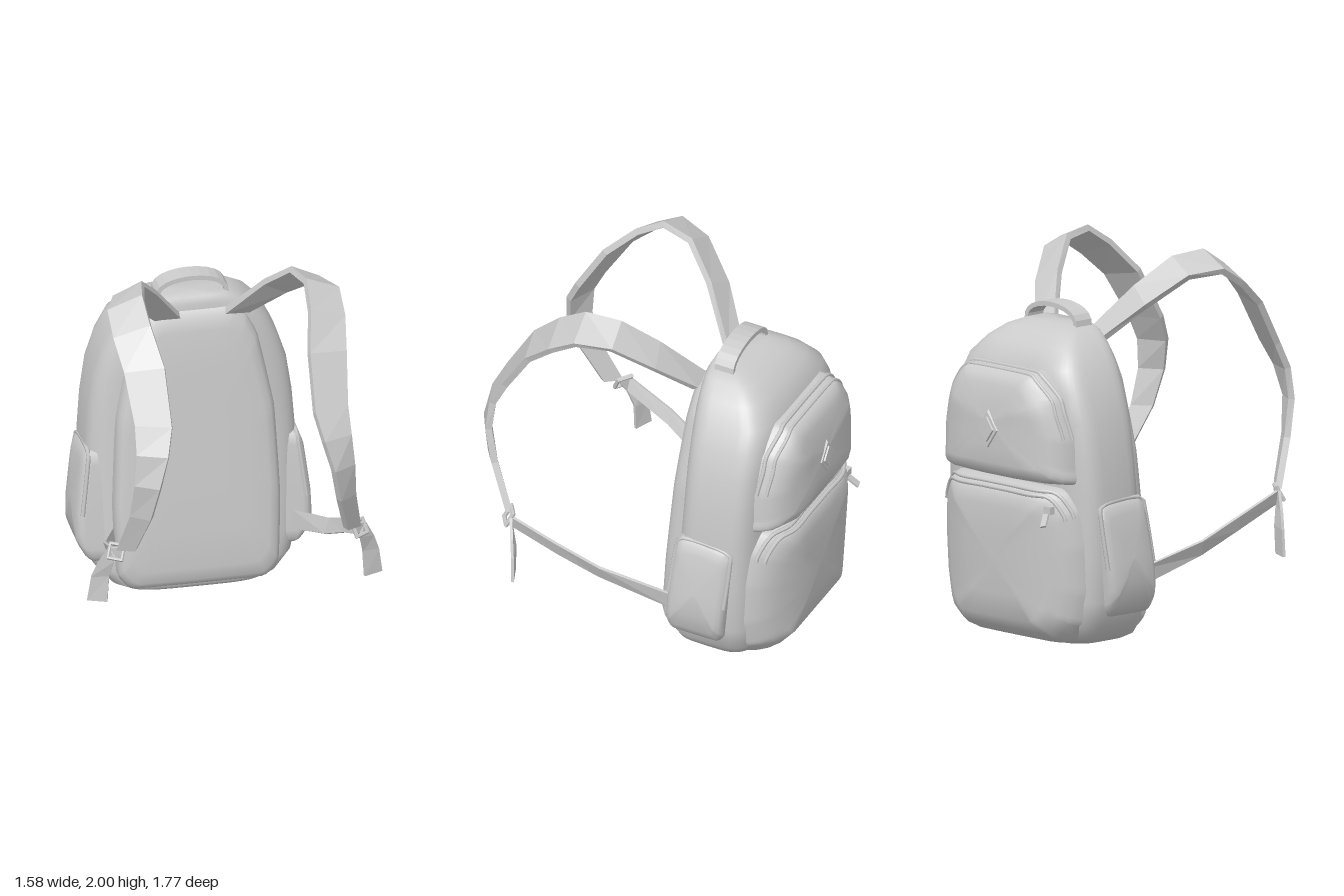
import * as THREE from 'three';

const smooth = new THREE.MeshStandardMaterial({ color: 0xcccccc, side: THREE.DoubleSide });
const flat = new THREE.MeshStandardMaterial({ color: 0xcccccc, side: THREE.DoubleSide, flatShading: true });
const V = (x, y, z) => new THREE.Vector3(x, y, z);

function add(parent, name, geometry, material = smooth) {
  const mesh = new THREE.Mesh(geometry, material);
  mesh.name = name;
  parent.add(mesh);
  return mesh;
}

// Skin over closed rings of equal length, counter-clockwise seen from the end they run towards
function skin(rings) {
  const n = rings[0].length, index = [];
  for (let i = 0; i < rings.length - 1; i++) {
    for (let j = 0; j < n; j++) {
      const a = i * n + j, b = i * n + (j + 1) % n;
      index.push(a, b, b + n, a, b + n, a + n);
    }
  }
  const g = new THREE.BufferGeometry().setFromPoints(rings.flat());
  g.setIndex(index);
  g.computeVertexNormals();
  return g;
}

// Ring collapsed to its middle, closing the end of a skin
function capRing(ring) {
  const c = V(0, 0, 0);
  ring.forEach(p => c.addScaledVector(p, 1 / ring.length));
  return ring.map(() => c.clone());
}

// Strap of a given thickness; every station holds its two edge points
function ribbon(stations, thickness, side = 1) {
  const edges = stations.map(s => [V(...s.slice(0, 3)), V(...s.slice(3))]);
  const mid = edges.map(([a, b]) => a.clone().lerp(b, 0.5));
  const rings = edges.map(([a, b], k) => {
    const along = mid[Math.min(k + 1, mid.length - 1)].clone().sub(mid[Math.max(k - 1, 0)]);
    const n = along.cross(b.clone().sub(a)).normalize().multiplyScalar(-thickness);
    const ring = [a, a.clone().add(n), b.clone().add(n), b];
    if (side < 0) { ring.forEach(p => { p.x *= -1; }); ring.reverse(); }
    return ring;
  });
  return skin([capRing(rings[0]), ...rings, capRing(rings.at(-1))]).toNonIndexed();
}

// Soft-cornered closed outline through a few points
function outline(points, mirror = 1) {
  const p = points.map(([x, y]) => V(x * mirror, y, 0));
  if (mirror < 0) p.reverse();
  return new THREE.CatmullRomCurve3(p, true, 'catmullrom', 0.15).getPoints(p.length * 5).slice(0, -1);
}
// Right half of an outline, bottom to top, completed with its mirror image
const symmetric = half => [...half, ...half.map(([x, y]) => [-x, y]).reverse()];

// Outline scaled about its middle and laid on a surface: depth plus lean(y, |x|)
function shrink(line, scale, depth, lean) {
  const c = new THREE.Box3().setFromPoints(line).getCenter(V(0, 0, 0));
  return line.map(p => {
    const q = p.clone().sub(c).multiplyScalar(scale).add(c);
    q.z = depth + lean(q.y, Math.abs(q.x));
    return q;
  });
}

// Padded panel: steps are [scale of outline, depth]
const pillow = (line, steps, lean) => skin(steps.map(([s, d]) => shrink(line, s, d, lean)));

// Piping along the part of an outline above a height
function piping(line, scale, depth, lean, yMin, radius) {
  const pts = shrink(line, scale, depth, lean).filter(p => p.y > yMin);
  return new THREE.TubeGeometry(new THREE.CatmullRomCurve3(pts), pts.length * 2, radius, 6);
}

function createBag() {
  const bag = new THREE.Group();
  bag.name = 'bag';

  // Main compartment: height, half width, front z, back z
  const levels = [
    [0, 0.38, -0.17, -0.59], [0.03, 0.45, -0.155, -0.64], [0.12, 0.53, -0.16, -0.69],
    [0.25, 0.56, -0.18, -0.70], [0.5, 0.57, -0.205, -0.705], [0.8, 0.565, -0.23, -0.71],
    [1.0, 0.55, -0.24, -0.715], [1.2, 0.52, -0.245, -0.72], [1.35, 0.47, -0.245, -0.72],
    [1.47, 0.41, -0.245, -0.70], [1.56, 0.335, -0.245, -0.63], [1.62, 0.26, -0.25, -0.55],
    [1.655, 0.18, -0.265, -0.45],
  ];
  const pw = v => Math.sign(v) * Math.pow(Math.abs(v), 0.48);
  const rings = levels.map(([y, w, zf, zb]) => Array.from({ length: 48 }, (_, i) => {
    const a = i / 48 * Math.PI * 2;
    return V(w * pw(Math.cos(a)), y, (zf + zb) / 2 - (zf - zb) / 2 * pw(Math.sin(a)));
  }));
  add(bag, 'mainCompartment', skin([capRing(rings[0]), ...rings, capRing(rings.at(-1))]));

  // Padded panel that rests against the wearer
  const panel = outline(symmetric([[0.34, 0.03], [0.43, 0.12], [0.445, 0.5], [0.42, 1.0], [0.34, 1.4], [0.28, 1.53], [0.2, 1.6]]));
  add(bag, 'paddedPanel', pillow(panel,
    [[1, -0.16], [1, -0.075], [0.98, -0.045], [0.94, -0.022], [0.85, -0.006], [0.6, 0], [0.3, 0], [0, 0]],
    y => -0.077 - 0.078 * y));

  // Pockets on the far side, their flanks sloping back to the main compartment
  const rear = new THREE.Group();
  rear.name = 'rearPockets';
  rear.rotation.y = Math.PI;
  bag.add(rear);

  const flank = x => -0.45 * Math.max(0, x - 0.28);
  const upperLean = (y, x) => flank(x) - 0.15 * Math.max(0, y - 1.25);
  const upper = outline(symmetric([[0.45, 0.875], [0.47, 0.95], [0.46, 1.12], [0.39, 1.33], [0.25, 1.46]]));
  add(rear, 'upperPocket', pillow(upper,
    [[1, 0.62], [1, 0.74], [0.97, 0.79], [0.93, 0.825], [0.85, 0.85], [0.7, 0.863], [0.4, 0.868], [0, 0.87]], upperLean));
  add(rear, 'upperZipper', piping(upper, 0.985, 0.768, upperLean, 1.12, 0.012));
  add(rear, 'upperZipper', piping(upper, 0.95, 0.81, upperLean, 1.12, 0.01));

  const lowerLean = (y, x) => flank(x) + 0.06 * (y - 0.45) - 0.5 * Math.max(0, 0.14 - y);
  const lower = outline(symmetric([[0.36, 0.01], [0.48, 0.13], [0.52, 0.3], [0.52, 0.55], [0.49, 0.74], [0.39, 0.855]]));
  add(rear, 'lowerPocket', pillow(lower,
    [[1, 0.58], [1, 0.71], [0.97, 0.76], [0.92, 0.795], [0.84, 0.818], [0.7, 0.832], [0.4, 0.838], [0, 0.84]], lowerLean));
  add(rear, 'lowerZipper', piping(lower, 0.96, 0.772, lowerLean, 0.68, 0.011));
  add(rear, 'lowerZipper', piping(lower, 0.91, 0.8, lowerLean, 0.68, 0.011));

  // Zipper pull
  const tab = add(rear, 'zipperPull', new THREE.BoxGeometry(0.035, 0.08, 0.012), flat);
  tab.position.set(0.385, 0.70, 0.825);
  tab.rotation.set(-0.7, 0, 0.35);
  const slider = add(rear, 'zipperSlider', new THREE.BoxGeometry(0.05, 0.04, 0.03), flat);
  slider.position.set(0.38, 0.75, 0.79);

  // Diamond patch: a wide base with a smaller tile on it
  for (const [r, z] of [[0.11, 0.867], [0.075, 0.875]]) {
    const patch = add(rear, 'diamondPatch', new THREE.CylinderGeometry(r * 0.85, r, 0.018, 4).rotateX(Math.PI / 2), flat);
    patch.scale.x = 0.75;
    patch.position.set(0, 1.14, z);
  }

  // Side pockets with a bound opening
  for (const side of [1, -1]) {
    const pocket = new THREE.Group();
    pocket.name = side > 0 ? 'leftSidePocket' : 'rightSidePocket';
    pocket.rotation.y = side * Math.PI / 2;
    bag.add(pocket);
    const line = outline([[0.25, 0.165], [0.51, 0.165], [0.555, 0.24], [0.595, 0.765], [0.285, 0.78], [0.225, 0.24]], side);
    const lean = y => -0.12 * Math.max(0, y - 0.42) - 0.35 * Math.max(0, 0.3 - y);
    add(pocket, 'pouch', pillow(line,
      [[1, 0.46], [1, 0.58], [0.97, 0.602], [0.9, 0.618], [0.75, 0.63], [0.4, 0.636], [0, 0.637]], lean));
    add(pocket, 'binding', piping(line, 0.975, 0.6, lean, 0.42, 0.012));
  }

  // Carry handle
  const arch = Array.from({ length: 13 }, (_, i) => {
    const a = Math.PI * (1 - i / 12);
    const x = 0.2 * Math.cos(a), y = 1.63 + 0.125 * Math.pow(Math.sin(a), 0.7);
    return [x, y, -0.31, x, y, -0.42];
  });
  add(bag, 'carryHandle', ribbon(arch, 0.025), flat);
  return bag;
}

// Stations: inner edge x, y, z then outer edge x, y, z
const SHOULDER = [
  [0.12, 1.58, -0.25, 0.25, 1.57, -0.26], [0.29, 1.83, -0.06, 0.42, 1.75, -0.10],
  [0.40, 1.98, 0.11, 0.55, 1.90, 0.09], [0.44, 2.0, 0.30, 0.62, 1.92, 0.28],
  [0.43, 1.90, 0.46, 0.62, 1.83, 0.43], [0.39, 1.73, 0.63, 0.595, 1.70, 0.58],
  [0.385, 1.46, 0.79, 0.57, 1.46, 0.73], [0.42, 1.32, 0.86, 0.575, 1.32, 0.80],
  [0.47, 1.15, 0.885, 0.59, 1.15, 0.815], [0.51, 0.95, 0.84, 0.605, 0.95, 0.77],
  [0.57, 0.72, 0.73, 0.655, 0.70, 0.66],
];
const LOWER = [
  [0.67, 0.71, 0.62, 0.65, 0.64, 0.64], [0.645, 0.60, 0.36, 0.62, 0.52, 0.37],
  [0.595, 0.49, 0.14, 0.565, 0.41, 0.16], [0.48, 0.365, -0.22, 0.46, 0.26, -0.22],
];
const TAIL = [
  [0.61, 0.71, 0.66, 0.69, 0.70, 0.62], [0.66, 0.62, 0.63, 0.74, 0.60, 0.59],
  [0.68, 0.52, 0.60, 0.77, 0.51, 0.57], [0.69, 0.37, 0.60, 0.79, 0.37, 0.56],
];

export function createModel() {
  const model = new THREE.Group();
  model.name = 'backpack';
  const bag = createBag();
  bag.position.x = -0.04;
  model.add(bag);

  for (const side of [1, -1]) {
    const strap = new THREE.Group();
    strap.name = side > 0 ? 'leftStrap' : 'rightStrap';
    add(strap, 'shoulderStrap', ribbon(SHOULDER, 0.035, side), flat);
    add(strap, 'lowerStrap', ribbon(LOWER, 0.015, side), flat);
    add(strap, 'strapTail', ribbon(TAIL, 0.015, side), flat);
    // Square adjuster buckle
    const frame = new THREE.TorusGeometry(0.055, 0.013, 6, 4).rotateZ(Math.PI / 4).rotateX(-0.5);
    const buckle = add(strap, 'buckle', frame, flat);
    buckle.position.set(side * 0.65, 0.685, 0.645);
    buckle.rotation.y = side * 0.6;
    model.add(strap);
  }
  return model;
}
